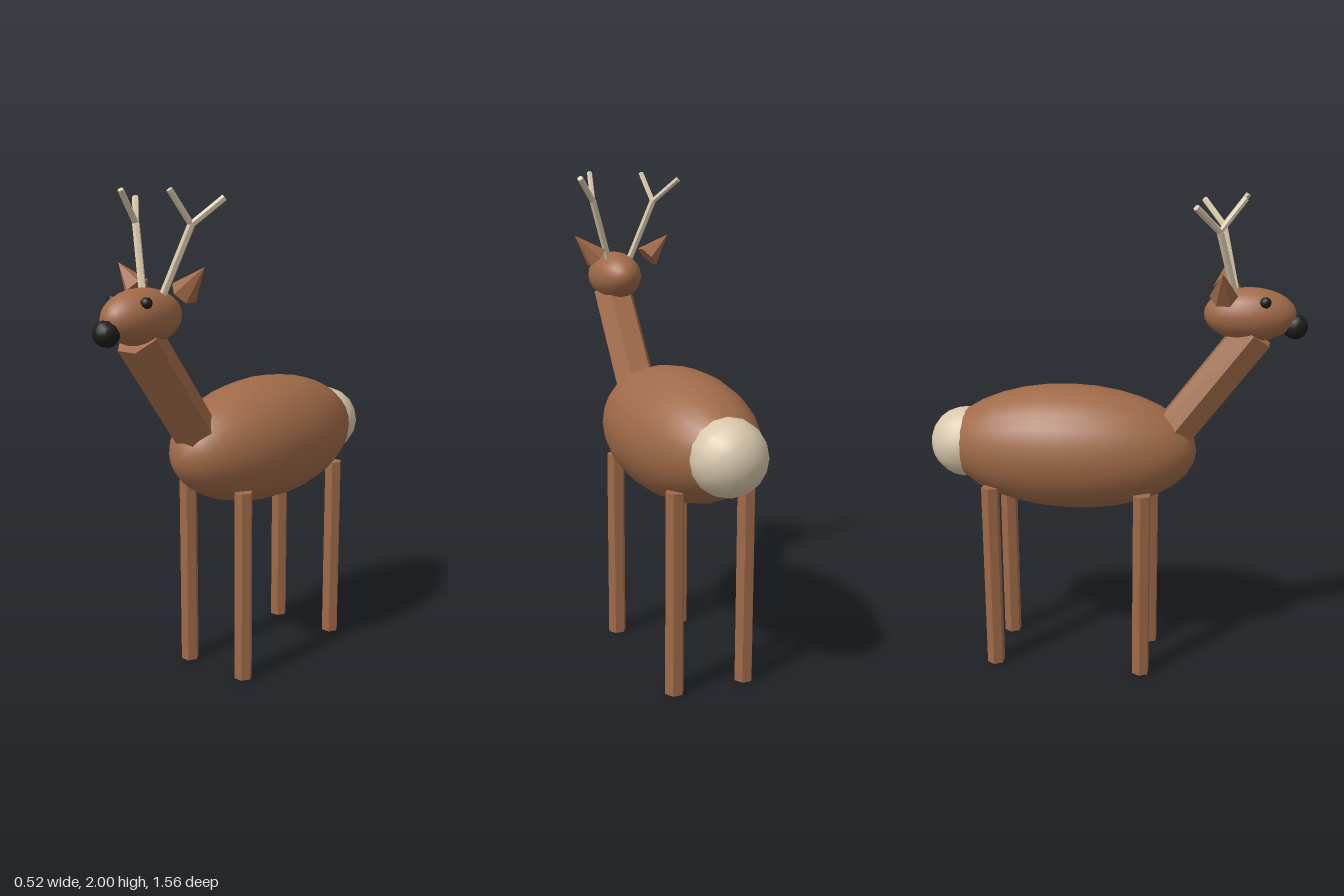
import * as THREE from 'three';

export function createModel() {
  const model = new THREE.Group();
  model.name = 'deer';

  const material = (name, color, flatShading = false) => {
    const m = new THREE.MeshStandardMaterial({ color, flatShading });
    m.name = name;
    return m;
  };
  const fur = material('brown fur', 0xa06a48);
  const cream = material('cream', 0xd8c8ac);
  const black = material('black', 0x1c1c1c);

  const add = (name, geometry, mat) => {
    const mesh = new THREE.Mesh(geometry, mat);
    mesh.name = name;
    model.add(mesh);
    return mesh;
  };

  // Smooth ellipsoid with its poles on the z axis
  const ellipsoid = (name, mat, center, radii, around = 20, along = 14) => {
    const g = new THREE.SphereGeometry(1, around, along);
    g.rotateX(Math.PI / 2);
    g.scale(...radii);
    add(name, g, mat).position.set(...center);
  };

  // Faceted six-sided rod or cone between two points, with corners on +x and -x
  const rod = (name, mat, from, to, r0, r1 = r0, turn = Math.PI / 2) => {
    const a = new THREE.Vector3(...from), b = new THREE.Vector3(...to);
    const dir = b.clone().sub(a);
    const g = new THREE.CylinderGeometry(r1, r0, dir.length(), 6).rotateY(turn).toNonIndexed();
    g.computeVertexNormals();
    const mesh = add(name, g, mat);
    mesh.position.copy(a).add(b).multiplyScalar(0.5);
    mesh.quaternion.setFromUnitVectors(new THREE.Vector3(0, 1, 0), dir.normalize());
  };

  // Trunk, neck and head
  ellipsoid('body', fur, [0, 0.96, -0.18], [0.262, 0.262, 0.532], 24, 16);
  ellipsoid('tail', cream, [0, 0.96, -0.63], [0.15, 0.15, 0.15], 16, 12);
  rod('neck', fur, [0, 1.03, 0.243], [0, 1.466, 0.57], 0.09);
  ellipsoid('head', fur, [0, 1.54, 0.55], [0.11, 0.107, 0.182]);
  ellipsoid('nose', black, [0, 1.495, 0.728], [0.05, 0.05, 0.05], 10, 8);

  for (const s of [1, -1]) {
    const side = s > 0 ? 'left' : 'right';

    // Legs
    rod(side + 'FrontLeg', fur, [s * 0.15, 0, 0.145], [s * 0.15, 0.81, 0.145], 0.0385);
    rod(side + 'BackLeg', fur, [s * 0.15, 0, -0.493], [s * 0.15, 0.81, -0.493], 0.0385);

    // Face
    ellipsoid(side + 'Eye', black, [s * 0.085, 1.6, 0.61], [0.022, 0.022, 0.022], 10, 8);
    rod(side + 'Ear', fur, [s * 0.12, 1.627, 0.45], [s * 0.22, 1.724, 0.45], 0.055, 0, 0);

    // Antlers: one beam that forks into two tines
    const fork = [s * 0.14, 1.87, 0.43];
    rod(side + 'AntlerBeam', cream, [s * 0.045, 1.6, 0.495], fork, 0.015);
    rod(side + 'AntlerBackTine', cream, fork, [s * 0.225, 1.965, 0.345], 0.013);
    rod(side + 'AntlerFrontTine', cream, fork, [s * 0.122, 1.993, 0.523], 0.012);
  }
  return model;
}
